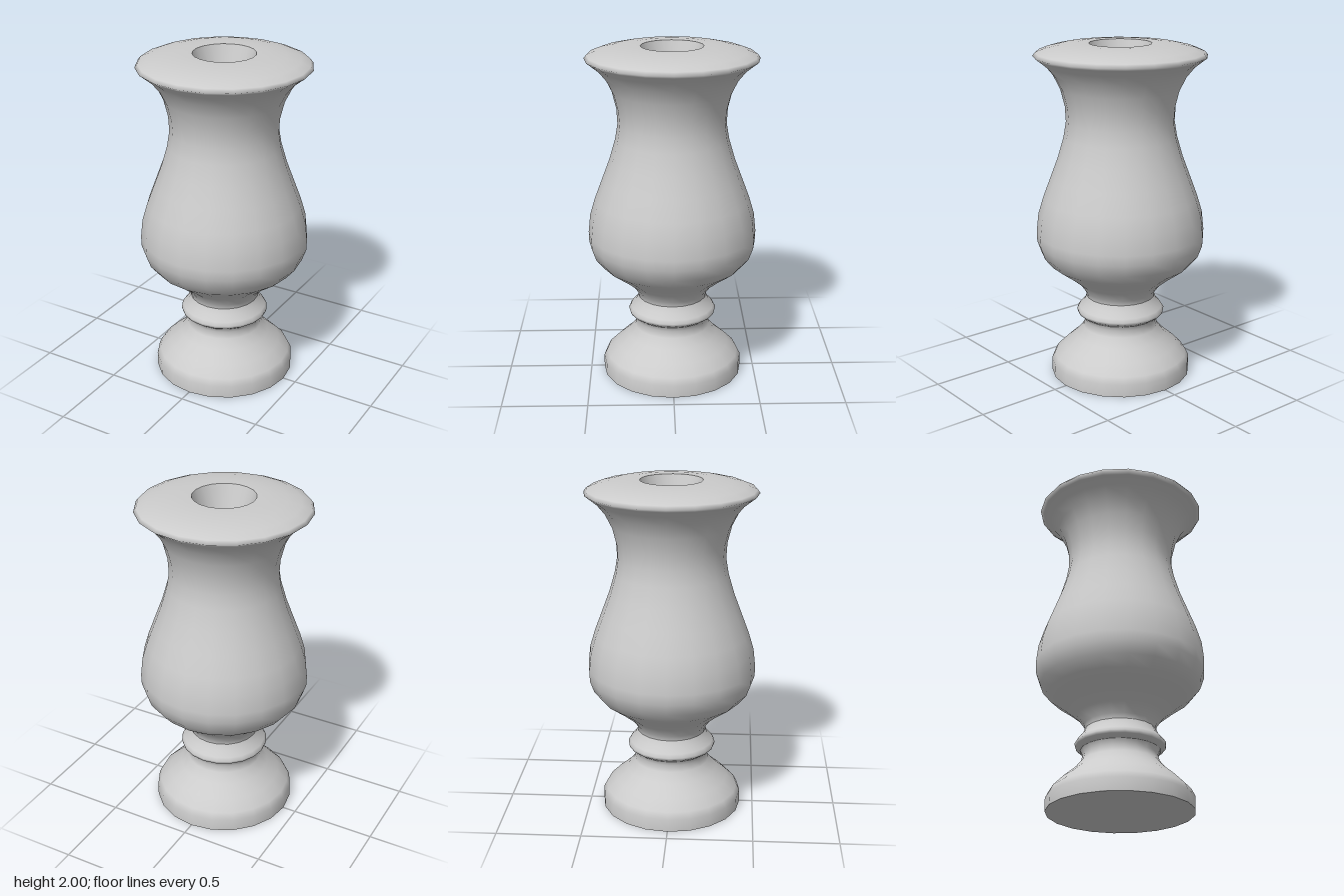
import * as THREE from 'three';

const SIDES = 20;
const material = new THREE.MeshStandardMaterial({ color: 0xcccccc });

// Revolves a profile of [radius, height] pairs; runs upward = outward facing
function turned(name, profile) {
  const points = profile.map(([r, y]) => new THREE.Vector2(r, y));
  const mesh = new THREE.Mesh(new THREE.LatheGeometry(points, SIDES), material);
  mesh.name = name;
  return mesh;
}

export function createModel() {
  const group = new THREE.Group();
  group.name = 'turnedVase';

  // Separate meshes keep the edges between them sharp
  group.add(
    turned('footUnderside', [[0, 0], [0.42, 0]]),
    turned('foot', [
      [0.42, 0], [0.42, 0.075], [0.4, 0.115], [0.34, 0.175], [0.27, 0.235],
      [0.225, 0.29], [0.215, 0.33], [0.23, 0.36],
    ]),
    // Ring around the stem
    turned('stemRing', [
      [0.23, 0.36], [0.258, 0.38], [0.263, 0.397], [0.25, 0.417], [0.22, 0.45], [0.205, 0.485],
    ]),
    // Belly, neck and flared lip
    turned('body', [
      [0.205, 0.485], [0.21, 0.515], [0.25, 0.57], [0.33, 0.635], [0.42, 0.7],
      [0.47, 0.76], [0.495, 0.83], [0.497, 0.89], [0.485, 1.0], [0.455, 1.1],
      [0.41, 1.22], [0.365, 1.34], [0.33, 1.46], [0.315, 1.55], [0.32, 1.64],
      [0.345, 1.74], [0.385, 1.82], [0.43, 1.875], [0.48, 1.915],
      [0.5, 1.93], [0.485, 1.95], [0.43, 1.972], [0.35, 1.99], [0.25, 2], [0.18, 2],
    ]),
    // Tapered socket in the top
    turned('socketWall', [[0.18, 2], [0.1, 1.75]]),
    turned('socketFloor', [[0.1, 1.75], [0, 1.75]]),
  );
  return group;
}
